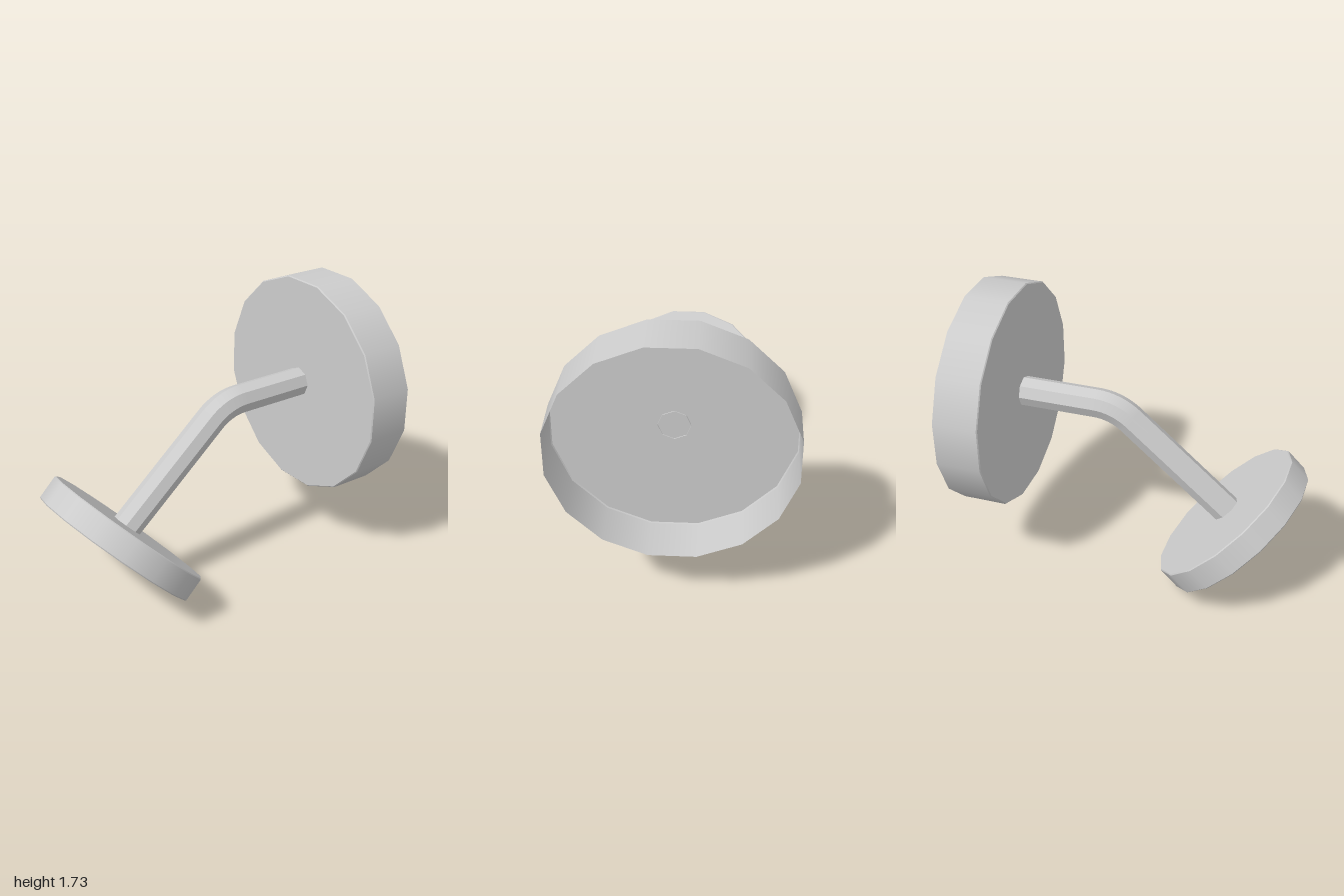
import * as THREE from 'three';

const SIDES = 16;
const BEVEL = 0.006;
const metal = new THREE.MeshStandardMaterial({ color: 0xcccccc, side: THREE.DoubleSide });
metal.name = 'light grey metal';

// 16-sided plate along y from 0 to height, with flats facing the axes and fine bevels
function plate(name, radius, height, closedBottom) {
  const group = new THREE.Group();
  group.name = name;
  const start = Math.PI / SIDES;
  const add = (part, rTop, rBottom, y0, y1) => {
    const geo = new THREE.CylinderGeometry(rTop, rBottom, y1 - y0, SIDES, 1, true, start);
    geo.translate(0, (y0 + y1) / 2, 0);
    const mesh = new THREE.Mesh(geo, metal);
    mesh.name = part;
    group.add(mesh);
  };
  const cap = (part, y, up) => {
    const geo = new THREE.CircleGeometry(radius - BEVEL, SIDES, start);
    geo.rotateX(up ? -Math.PI / 2 : Math.PI / 2);
    geo.translate(0, y, 0);
    const mesh = new THREE.Mesh(geo, metal);
    mesh.name = part;
    group.add(mesh);
  };
  const low = closedBottom ? BEVEL : 0;
  add('rim', radius, radius, low, height - BEVEL);
  add('topBevel', radius - BEVEL, radius, height - BEVEL, height);
  cap('topFace', height, true);
  if (closedBottom) {
    add('bottomBevel', radius, radius - BEVEL, 0, BEVEL);
    cap('bottomFace', 0, false);
  }
  return group;
}

// Octagonal bar swept along the bent path: creased lengthwise, smooth round the bend
function bentArm() {
  const r = 0.09, bendRadius = 0.32, bend = THREE.MathUtils.degToRad(41), steps = 8, sides = 8;
  const rings = [{ z: -0.735, y: 1.09, a: 0 }];
  for (let i = 0; i <= steps; i++) {
    const a = (bend * i) / steps;
    rings.push({ z: -0.27 + bendRadius * Math.sin(a), y: 1.09 - bendRadius * (1 - Math.cos(a)), a });
  }
  const last = rings[rings.length - 1];
  rings.push({ z: last.z + 0.82 * Math.cos(bend), y: last.y - 0.82 * Math.sin(bend), a: bend });

  const positions = [], index = [];
  for (let s = 0; s < sides; s++) {
    const base = positions.length / 3;
    rings.forEach(({ z, y, a }, i) => {
      for (const k of [s, s + 1]) {
        const phi = (k / sides) * Math.PI * 2;
        const n = r * Math.cos(phi);
        positions.push(r * Math.sin(phi), y + n * Math.cos(a), z + n * Math.sin(a));
      }
      if (i > 0) {
        const p = base + (i - 1) * 2;
        index.push(p, p + 2, p + 3, p, p + 3, p + 1);
      }
    });
  }
  const geo = new THREE.BufferGeometry();
  geo.setAttribute('position', new THREE.Float32BufferAttribute(positions, 3));
  geo.setIndex(index);
  geo.computeVertexNormals();
  const mesh = new THREE.Mesh(geo, metal);
  mesh.name = 'arm';
  return mesh;
}

export function createModel() {
  const model = new THREE.Group();
  model.name = 'wallBracket';

  // Hollow wall cup, open at the back
  const wallCup = plate('wallCup', 0.678, 0.27, false);
  wallCup.rotation.x = Math.PI / 2;
  wallCup.position.set(0, 1.07, -1);

  // Solid tilted disc at the end of the arm
  const disc = plate('tiltedDisc', 0.526, 0.156, true);
  disc.rotation.x = -Math.PI / 4;
  disc.position.set(0, 0.366, 0.637);

  model.add(wallCup, bentArm(), disc);
  return model;
}
